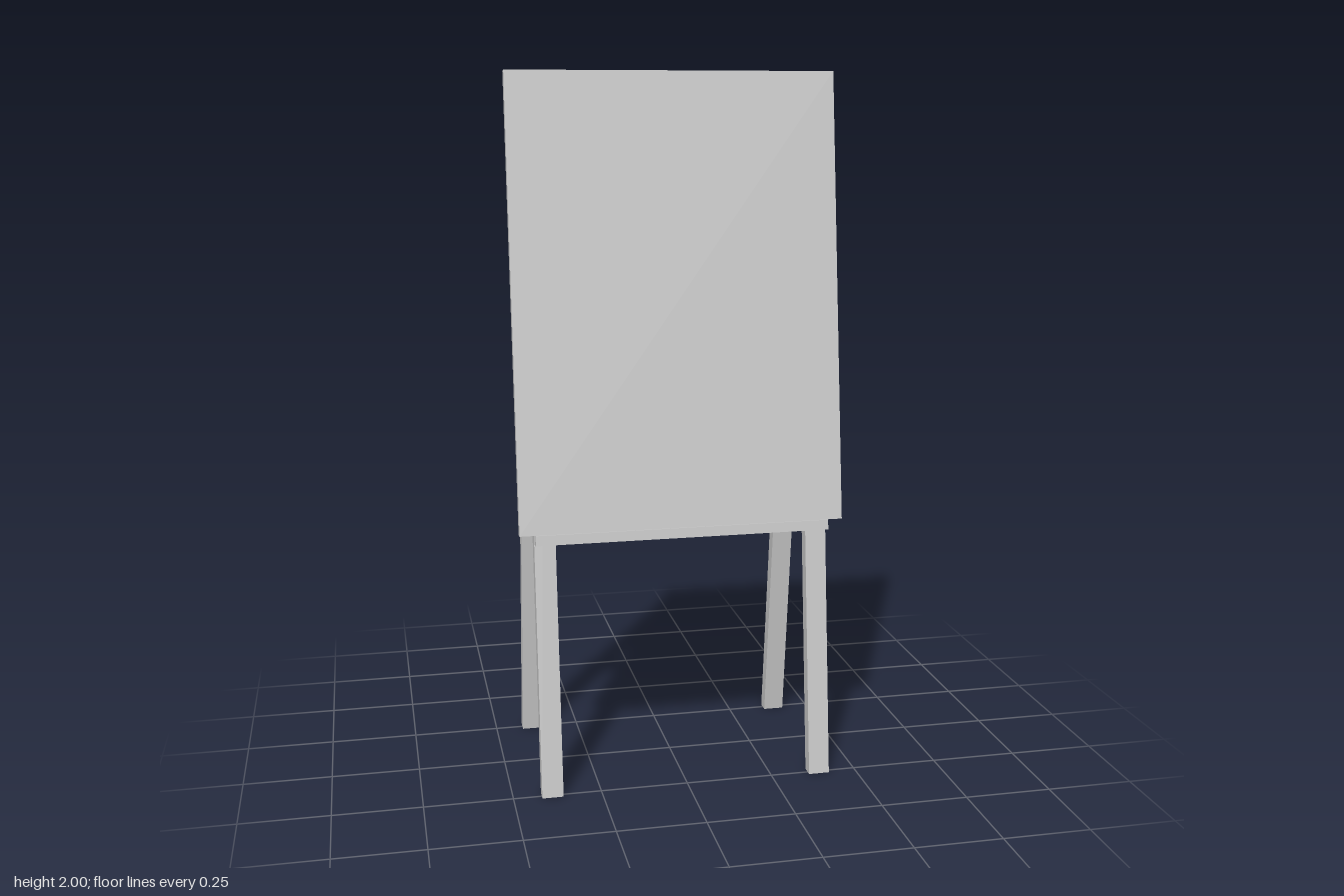
import * as THREE from 'three';

const material = new THREE.MeshStandardMaterial({ color: 0xcccccc, flatShading: true });

// Side profile given as [z, y] points, extruded across x and centred on x
function profilePart(name, points, width, x = 0) {
  const shape = new THREE.Shape(points.map(([z, y]) => new THREE.Vector2(z, y)));
  const geometry = new THREE.ExtrudeGeometry(shape, { depth: width, bevelEnabled: false });
  geometry.translate(0, 0, -width / 2).rotateY(-Math.PI / 2);
  const mesh = new THREE.Mesh(geometry, material);
  mesh.name = name;
  mesh.position.x = x;
  return mesh;
}

// Crossbar tilted square to the leaning legs; side is 1 for front, -1 for back
function rail(name, side, width, height, depth, y, z) {
  const mesh = new THREE.Mesh(new THREE.BoxGeometry(width, height, depth), material);
  mesh.name = name;
  mesh.position.set(0, y, side * z);
  mesh.rotation.x = -side * 0.117;
  return mesh;
}

export function createModel() {
  const group = new THREE.Group();
  group.name = 'easel';

  // Front and back legs meeting at the top, one pair on each side
  const legs = [
    [0.265, 0], [0.036, 1.91], [-0.043, 1.91], [-0.267, 0],
    [-0.23, 0], [-0.008, 1.88], [0.008, 1.88], [0.228, 0],
  ];
  group.add(profilePart('leftLegs', legs, 0.06, 0.39));
  group.add(profilePart('rightLegs', legs, 0.06, -0.39));

  // Leaning board
  group.add(profilePart('board', [[0.174, 0.745], [0.201, 0.748], [0.031, 2], [0.005, 1.997]], 0.924));

  // Middle crossbars between the legs, lower crossbars with an outer ledge
  for (const [label, side] of [['front', 1], ['back', -1]]) {
    group.add(rail(label + 'MiddleRail', side, 0.72, 0.035, 0.036, 1.36, 0.0885));
    group.add(rail(label + 'LowerRail', side, 0.72, 0.028, 0.037, 0.729, 0.162));
    group.add(rail(label + 'Ledge', side, 0.838, 0.028, 0.032, 0.733, 0.194));
  }
  return group;
}
